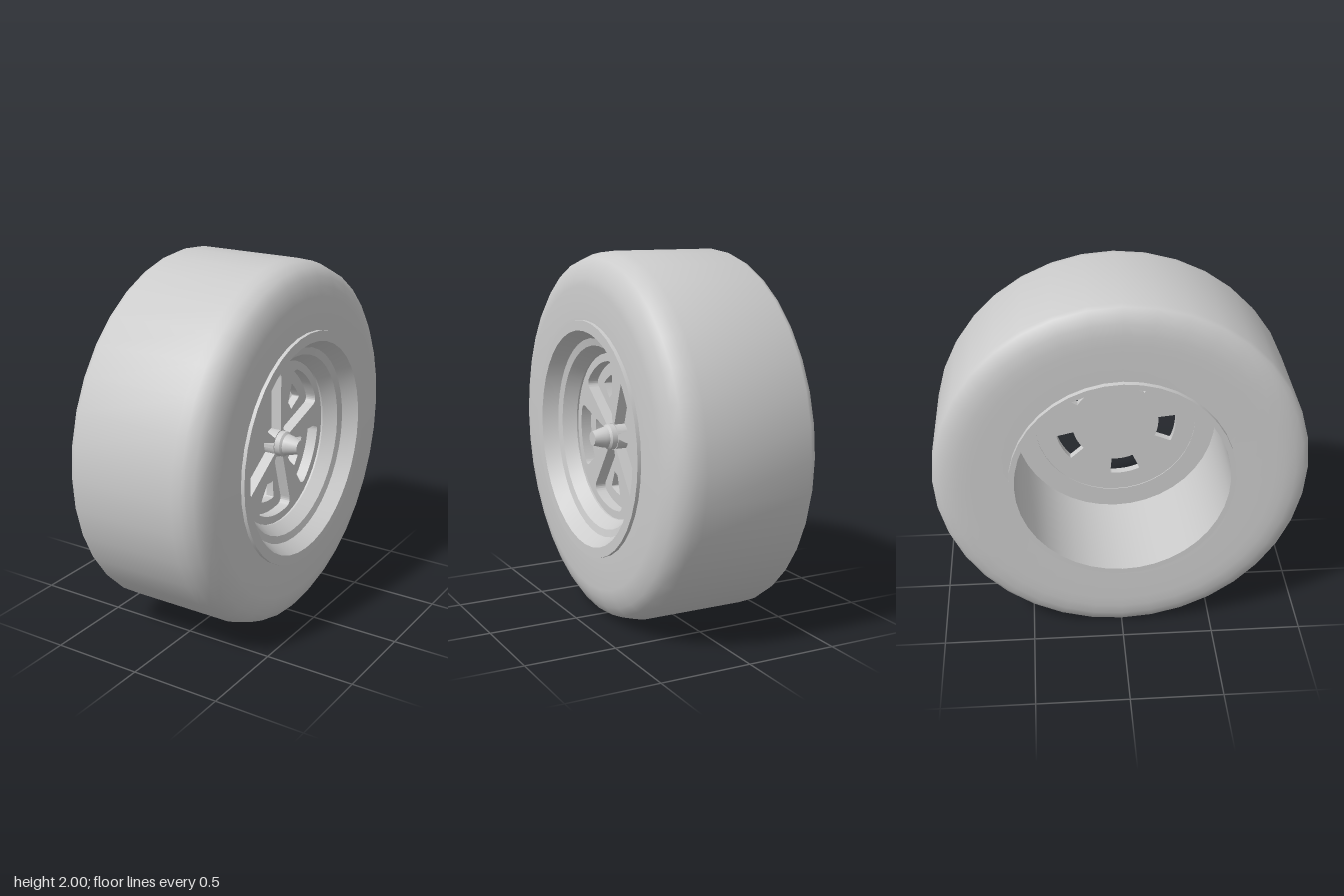
import * as THREE from 'three';
import { toCreasedNormals } from 'three/addons/utils/BufferGeometryUtils.js';

const material = new THREE.MeshStandardMaterial({ color: 0xcccccc });
const RAD = Math.PI / 180;

function addMesh(parent, name, geometry) {
  const mesh = new THREE.Mesh(geometry, material);
  mesh.name = name;
  parent.add(mesh);
  return mesh;
}

// Revolves [radius, x] points about the x axis
function revolve(points, segments, crease) {
  const g = new THREE.LatheGeometry(points.map(([r, x]) => new THREE.Vector2(r, x)), segments);
  g.rotateZ(-Math.PI / 2);
  return toCreasedNormals(g, crease * RAD);
}

// Ring sector centred on an angle, with rounded outer corners
function sector(angle, half, r0, r1, round) {
  const at = (r, a) => [r * Math.cos(a * RAD), r * Math.sin(a * RAD)];
  const a0 = angle - half, a1 = angle + half;
  const turn = round / r1 / RAD;
  const path = new THREE.Path();
  path.moveTo(...at(r0, a0));
  path.lineTo(...at(r1 - round, a0));
  path.quadraticCurveTo(...at(r1, a0), ...at(r1, a0 + turn));
  path.absarc(0, 0, r1, (a0 + turn) * RAD, (a1 - turn) * RAD, false);
  path.quadraticCurveTo(...at(r1, a1), ...at(r1 - round, a1));
  path.lineTo(...at(r0, a1));
  path.absarc(0, 0, r0, a1 * RAD, a0 * RAD, true);
  return path;
}

// Disc between two x positions, with five equal openings
function piercedDisc(radius, x0, x1, half, r0, r1, round) {
  const shape = new THREE.Shape();
  shape.absarc(0, 0, radius, 0, Math.PI * 2, false);
  for (let i = 0; i < 5; i++) shape.holes.push(sector(44.5 + i * 72, half, r0, r1, round));
  const g = new THREE.ExtrudeGeometry(shape, { depth: x1 - x0, bevelEnabled: false, curveSegments: 24 });
  g.translate(0, 0, x0);
  g.rotateY(Math.PI / 2);
  return toCreasedNormals(g, 30 * RAD);
}

export function createModel() {
  const wheel = new THREE.Group();
  wheel.name = 'wheel';
  const parts = new THREE.Group();
  parts.name = 'wheelParts';
  parts.position.y = 1;
  wheel.add(parts);

  // Tyre: wide tread, tighter shoulder on the inner side
  addMesh(parts, 'tyre', revolve([
    [0.58, -0.41], [0.8, -0.415], [0.86, -0.413], [0.92, -0.405], [0.965, -0.385], [0.99, -0.365], [1, -0.34],
    [1, 0.25], [0.99, 0.3], [0.965, 0.36], [0.92, 0.39], [0.87, 0.411], [0.82, 0.42], [0.6, 0.42],
  ], 36, 50));

  // Rim: open barrel at the back, stepped dish at the front
  addMesh(parts, 'rim', revolve([
    [0.57, -0.44], [0.6, -0.44], [0.6, 0.4], [0.64, 0.4], [0.64, 0.44], [0.585, 0.44],
    [0.54, 0.36], [0.5, 0.35], [0.455, 0.28], [0.455, 0.16], [0.57, 0.16], [0.57, -0.44],
  ], 40, 25));

  // Spokes stand in front of a plate with five windows
  addMesh(parts, 'spokes', piercedDisc(0.46, 0.21, 0.27, 26, 0.075, 0.41, 0.04));
  addMesh(parts, 'windowPlate', piercedDisc(0.46, 0.165, 0.21, 14.5, 0.245, 0.345, 0.008));

  // Hub nut: wide collar and tapered tip
  addMesh(parts, 'hubNut', revolve([
    [0, 0.2], [0.07, 0.2], [0.07, 0.3], [0.058, 0.31], [0.055, 0.33], [0.038, 0.39], [0, 0.39],
  ], 20, 30));

  return wheel;
}
